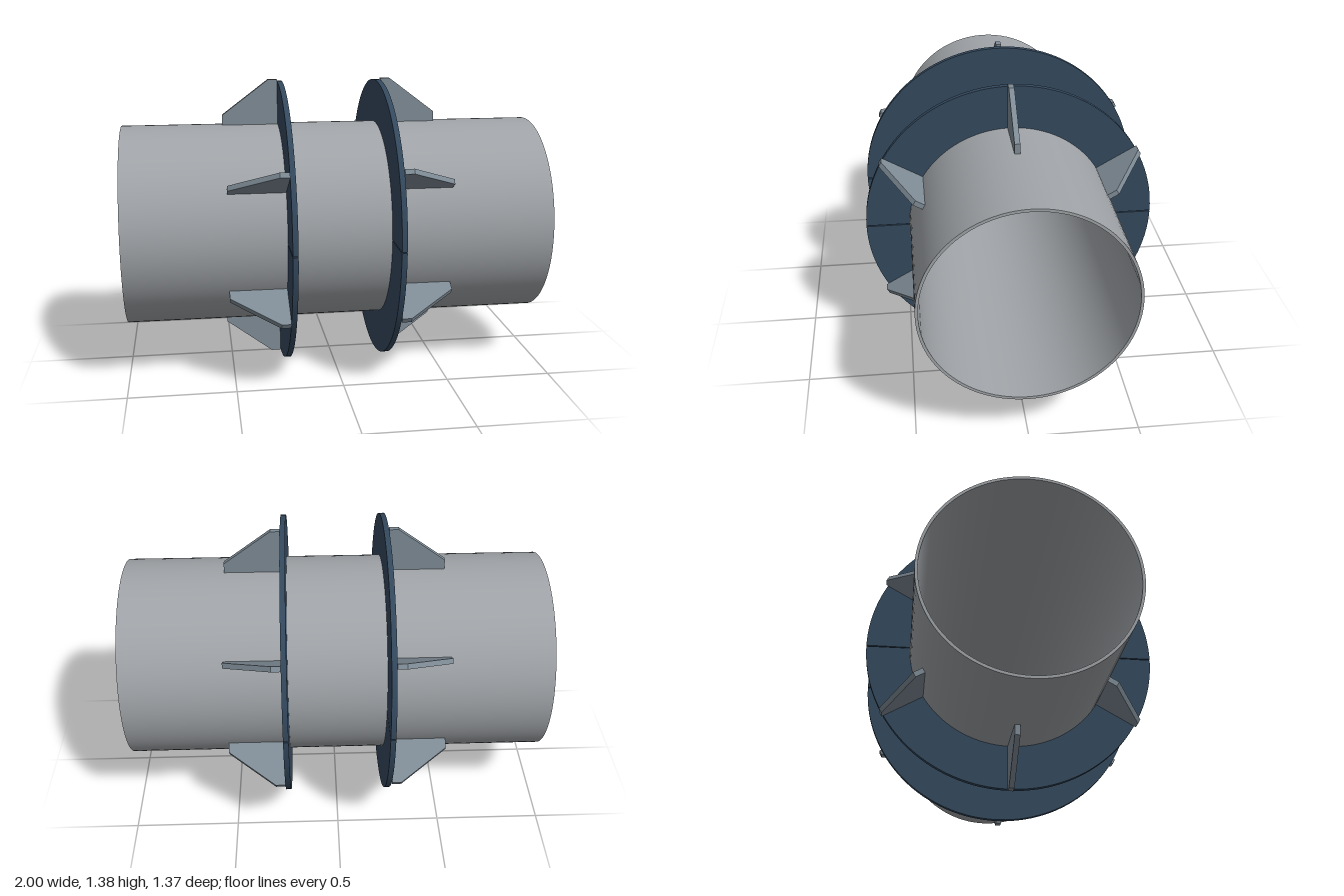
import * as THREE from 'three';
import { toCreasedNormals } from 'three/addons/utils/BufferGeometryUtils.js';

const AXIS_Y = 0.6925;
const PIPE_R = 0.478, BORE_R = 0.465;
const FLANGE_R = 0.683, FLANGE_IN = 0.228, FLANGE_OUT = 0.253;
const GUSSET_R = 0.6925, GUSSET_T = 0.025;

const steel = new THREE.MeshStandardMaterial({ color: 0xa0a4a8 });
const blue = new THREE.MeshStandardMaterial({ color: 0x34495e });
const plate = new THREE.MeshStandardMaterial({ color: 0x7f8c96 });

function part(name, geometry, material) {
  const mesh = new THREE.Mesh(geometry, material);
  mesh.name = name;
  return mesh;
}

// Hollow pipe lying along x
function pipeGeometry() {
  const profile = [[PIPE_R, -1], [PIPE_R, 1], [BORE_R, 1], [BORE_R, -1], [PIPE_R, -1]]
    .map(([r, y]) => new THREE.Vector2(r, y));
  const geo = new THREE.LatheGeometry(profile, 96).rotateZ(Math.PI / 2);
  return toCreasedNormals(geo, 0.5);
}

// Half of a split flange ring, with a hairline gap at the joint
function halfFlangeGeometry() {
  const gap = 0.004;
  const shape = new THREE.Shape();
  shape.absarc(0, 0, FLANGE_R, gap, Math.PI - gap, false);
  shape.absarc(0, 0, PIPE_R, Math.PI - gap, gap, true);
  const geo = new THREE.ExtrudeGeometry(shape, {
    depth: FLANGE_OUT - FLANGE_IN, bevelEnabled: false, curveSegments: 32,
  });
  geo.rotateY(Math.PI / 2).translate(FLANGE_IN, 0, 0);
  return toCreasedNormals(geo, 0.5);
}

// Sloped stiffener plate standing on the pipe against the flange
function gussetGeometry() {
  const shape = new THREE.Shape([
    [FLANGE_OUT, PIPE_R - 0.002], [0.52, PIPE_R - 0.002], [0.52, 0.525],
    [0.297, GUSSET_R], [FLANGE_OUT, GUSSET_R],
  ].map(([x, y]) => new THREE.Vector2(x, y)));
  return new THREE.ExtrudeGeometry(shape, { depth: GUSSET_T, bevelEnabled: false })
    .translate(0, 0, -GUSSET_T / 2);
}

export function createModel() {
  const model = new THREE.Group();
  model.name = 'flangedPipe';
  const body = new THREE.Group();
  body.name = 'pipeAssembly';
  body.position.y = AXIS_Y;
  model.add(body);

  body.add(part('pipe', pipeGeometry(), steel));

  const halfFlange = halfFlangeGeometry();
  const gusset = gussetGeometry();

  // The same collar on each side, turned half round for the right
  for (const [side, turn] of [['left', 0], ['right', Math.PI]]) {
    const collar = new THREE.Group();
    collar.name = side + 'Collar';
    collar.rotation.y = turn;

    ['upper', 'lower'].forEach((half, i) => {
      const ring = part(half + 'FlangeHalf', halfFlange, blue);
      ring.rotation.x = i * Math.PI;
      collar.add(ring);
    });

    for (let i = 0; i < 6; i++) {
      const rib = part('gusset' + (i + 1), gusset, plate);
      rib.rotation.x = i * Math.PI / 3;
      collar.add(rib);
    }
    body.add(collar);
  }
  return model;
}
